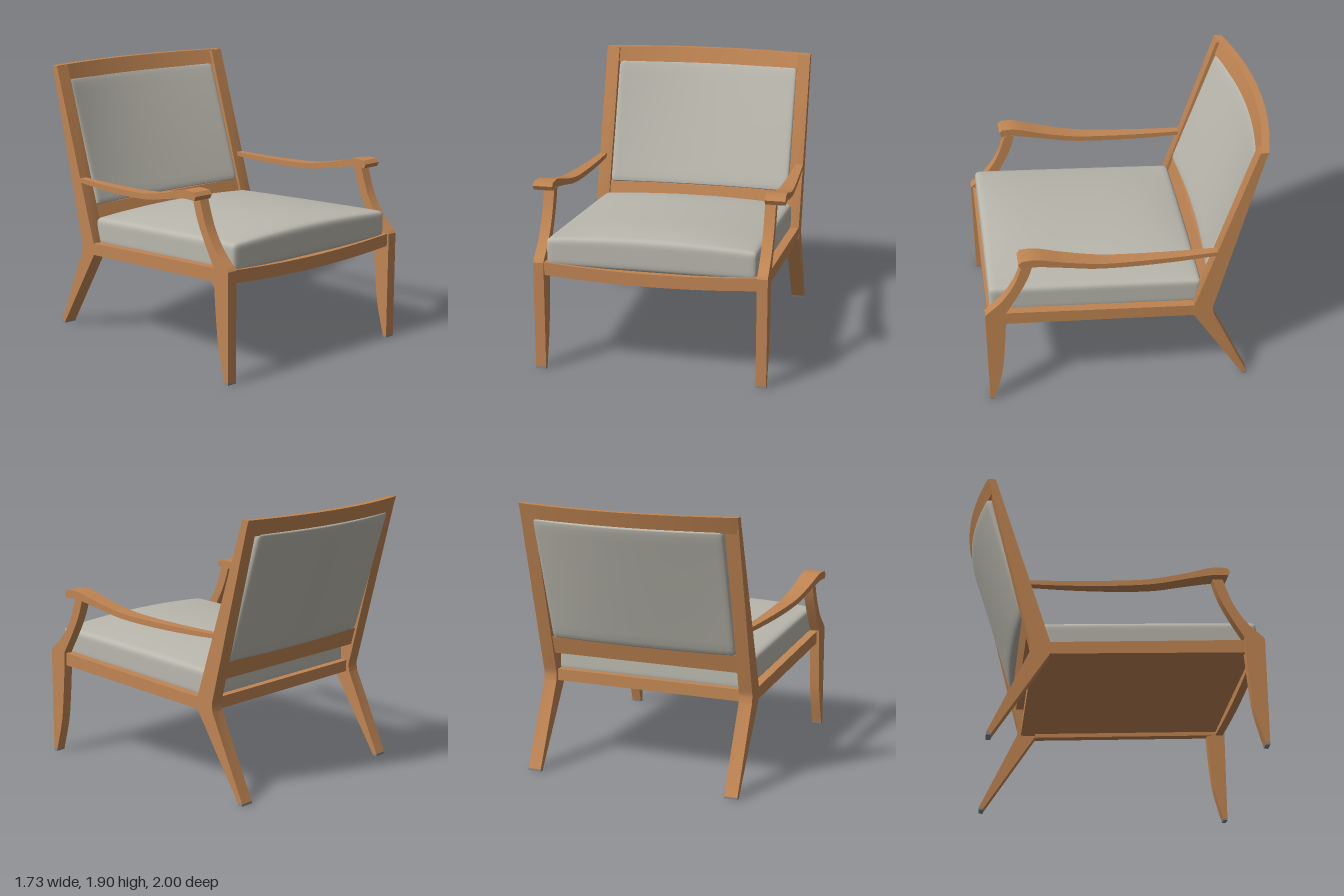
import * as THREE from 'three';
import { mergeVertices, toCreasedNormals } from 'three/addons/utils/BufferGeometryUtils.js';

const mat = (name, color) => new THREE.MeshStandardMaterial({ name, color });
const lerp = THREE.MathUtils.lerp;

// Smooth run of [z, y] points
const curve = (pts) => new THREE.SplineCurve(pts.map((p) => new THREE.Vector2(...p)))
  .getPoints(pts.length * 4).map((v) => [v.x, v.y]);

// Extrude a [z, y] outline sideways from x0 to x1
function sideProfile(pts, x0, x1) {
  const shape = new THREE.Shape(pts.map((p) => new THREE.Vector2(...p)));
  const geo = new THREE.ExtrudeGeometry(shape, { depth: x1 - x0, bevelEnabled: false });
  return geo.rotateY(-Math.PI / 2).translate(x1, 0, 0);
}

// Move every vertex by a rule
function bend(geo, rule) {
  const p = geo.attributes.position;
  const v = new THREE.Vector3();
  for (let i = 0; i < p.count; i++) {
    rule(v.fromBufferAttribute(p, i));
    p.setXYZ(i, v.x, v.y, v.z);
  }
  geo.computeVertexNormals();
  return geo;
}

// Rounded block with a dense grid, centred on the origin, then bent by a rule
function cushion(w, h, d, r, rule) {
  const box = new THREE.BoxGeometry(w, h, d, 32, 14, 32);
  box.deleteAttribute('uv');
  box.deleteAttribute('normal');
  const geo = mergeVertices(box);
  const half = new THREE.Vector3(w / 2, h / 2, d / 2);
  const inner = half.clone().subScalar(r);
  const core = new THREE.Vector3();
  return bend(geo, (v) => {
    for (const k of ['x', 'y', 'z']) v[k] = Math.sin((v[k] / half[k]) * Math.PI / 2) * half[k];
    core.copy(v).clamp(inner.clone().negate(), inner);
    v.sub(core);
    if (v.length() > 1e-6) v.setLength(r);
    v.add(core);
    rule(v);
  });
}

export function createModel() {
  const wood = mat('warm wood', 0xc08553);
  const fabric = mat('grey fabric', 0xb9b7ad);
  const glide = mat('foot grey', 0x85888c);
  const group = new THREE.Group();
  const add = (name, geo, material) => {
    const mesh = new THREE.Mesh(geo, material);
    mesh.name = name;
    group.add(mesh);
  };
  const railBottom = (z) => 0.615 + 0.0575 * z;

  // Side outlines
  const frontLeg = [
    [1, 0.015], [1, 0.76],
    ...curve([[0.985, 0.78], [0.88, 0.88], [0.79, 1.02], [0.725, 1.2]]),
    ...curve([[0.655, 1.2], [0.7, 1.06], [0.77, 0.92], [0.862, 0.765]]),
    ...curve([[0.865, 0.66], [0.885, 0.42], [0.91, 0.23], [0.968, 0.015]]),
  ];
  const backLeg = [
    [-0.805, 0.015], [-0.44, 0.59], [-0.44, 0.67], [-0.835, 1.895], [-0.885, 1.89],
    ...curve([[-0.585, 0.7], [-0.572, 0.645], [-0.578, 0.59]]), [-0.842, 0.015],
  ];
  const sideRail = [
    [0.9, railBottom(0.9)], [0.9, railBottom(0.9) + 0.092],
    [-0.48, railBottom(-0.48) + 0.084], [-0.48, railBottom(-0.48)],
  ];
  const arm = [
    ...curve([[0.745, 1.25], [0.64, 1.25], [0.45, 1.2], [0.22, 1.153], [0, 1.136], [-0.3, 1.126], [-0.6, 1.124]]),
    ...curve([[-0.59, 1.094], [-0.3, 1.09], [0, 1.097], [0.25, 1.117], [0.45, 1.157], [0.64, 1.193], [0.75, 1.195]]),
    [0.765, 1.225],
  ];

  for (const s of [1, -1]) {
    const side = s > 0 ? 'left' : 'right';
    const part = (name, pts, a, b, m = wood) => add(side + name,
      toCreasedNormals(sideProfile(pts, Math.min(s * a, s * b), Math.max(s * a, s * b)), 0.4), m);
    part('FrontLeg', frontLeg, 0.725, 0.797);
    part('BackLegAndPost', backLeg, 0.685, 0.78);
    part('SideRail', sideRail, 0.715, 0.778);
    part('FrontFoot', [[0.97, 0], [1, 0], [1, 0.015], [0.968, 0.015]], 0.725, 0.797, glide);
    part('BackFoot', [[-0.842, 0], [-0.81, 0], [-0.805, 0.015], [-0.842, 0.015]], 0.685, 0.78, glide);

    // Armrest widens outward toward the front
    const armGeo = bend(sideProfile(arm, Math.min(0, s), Math.max(0, s)), (v) => {
      const outer = lerp(0.78, 0.865, (v.z + 0.59) / 1.35);
      v.x = s * lerp(0.727, outer, Math.abs(v.x));
    });
    add(side + 'Armrest', toCreasedNormals(armGeo, 0.5), wood);
  }

  // Front rail with a gentle sag
  const sag = (x) => -0.03 * (1 - (x / 0.725) ** 2);
  const frontRail = new THREE.BoxGeometry(1.45, 0.088, 0.055, 24, 1, 1).translate(0, 0.717, 0.957);
  add('frontRail', toCreasedNormals(bend(frontRail, (v) => { v.y += sag(v.x); }), 0.5), wood);

  // Rear seat rail and lower back rail
  add('backRail', sideProfile([[-0.445, 0.59], [-0.445, 0.672], [-0.55, 0.672], [-0.55, 0.59]], -0.69, 0.69), wood);
  add('lowerBackRail', sideProfile([[-0.505, 0.8], [-0.545, 0.925], [-0.625, 0.925], [-0.59, 0.8]], -0.69, 0.69), wood);

  // Seat panel
  add('seatPanel', sideProfile([
    [0.94, railBottom(0.94) + 0.03], [0.94, railBottom(0.94) + 0.07],
    [-0.47, railBottom(-0.47) + 0.07], [-0.47, railBottom(-0.47) + 0.03],
  ], -0.72, 0.72), wood);

  // Curved top rail, leaning with the posts
  const topRail = new THREE.BoxGeometry(1.56, 0.11, 0.053, 32, 1, 1).translate(0, 1.845, 0);
  add('topRail', toCreasedNormals(bend(topRail, (v) => {
    v.z += -0.864 + 0.317 * (1.9 - v.y) - 0.107 * (1 - (v.x / 0.78) ** 2);
  }), 0.5), wood);

  // Seat cushion, sloping back with a crowned top
  add('seatCushion', cushion(1.435, 0.195, 1.465, 0.035, (v) => {
    const top = v.y / 0.195 + 0.5;
    const crown = 0.068 * (1 - (v.x / 0.7175) ** 2) * (1 - 0.65 * (v.z / 0.7325) ** 4);
    v.z += 0.2325;
    v.y = railBottom(v.z) + 0.06 + 0.195 * top + crown * top;
  }), fabric);

  // Back cushion, leaning and bowed more toward its top
  add('backCushion', cushion(1.365, 0.88, 0.1, 0.03, (v) => {
    const t = v.y / 0.88 + 0.5;
    const bow = lerp(0.035, 0.09, t) * (1 - (v.x / 0.6825) ** 2);
    v.z = v.z * lerp(1.15, 0.75, t) + lerp(-0.575, -0.858, t) - bow;
    v.y = 0.92 + 0.88 * t;
  }), fabric);

  return group;
}
